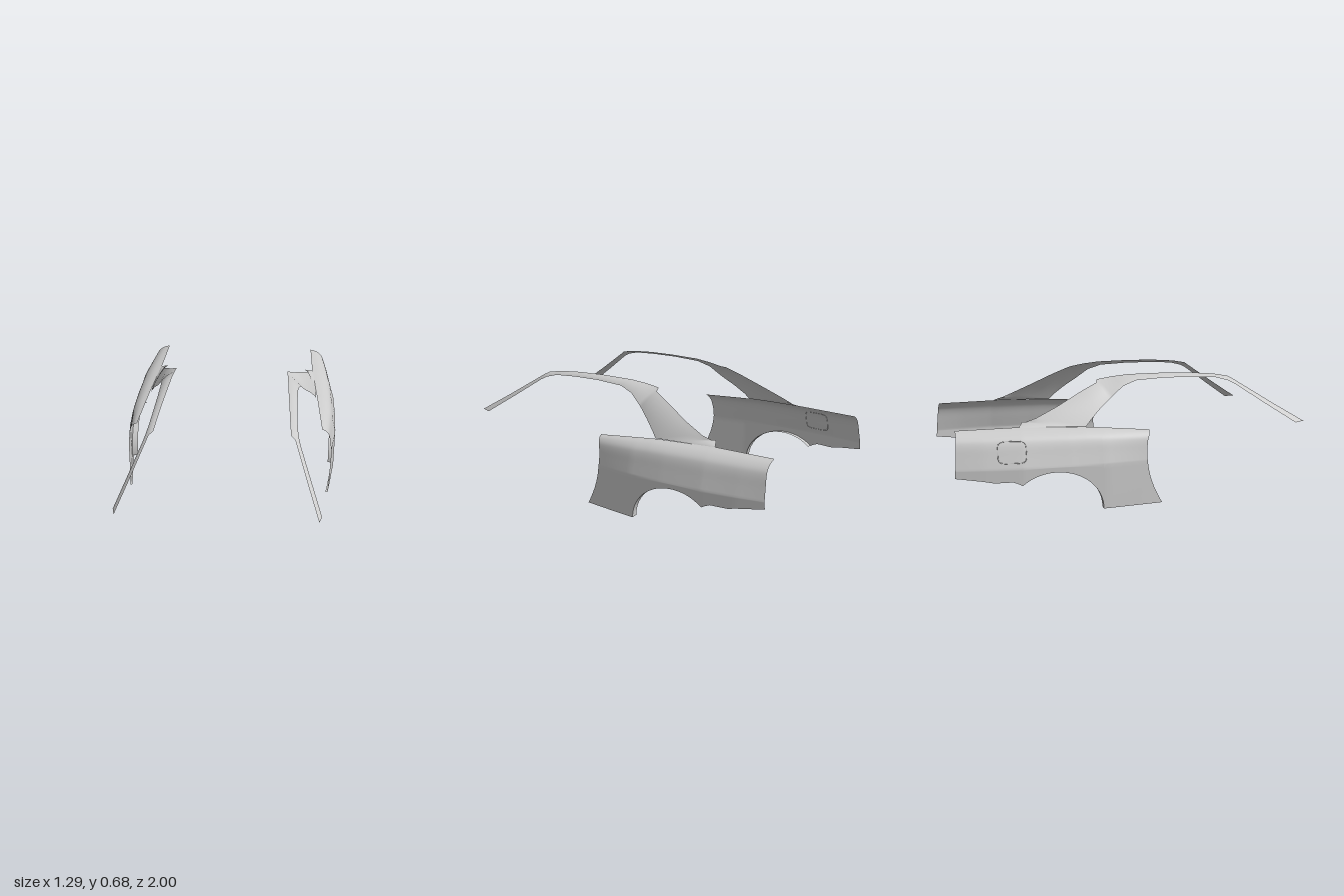
import * as THREE from 'three';

const material = new THREE.MeshStandardMaterial({ color: 0xcccccc, side: THREE.DoubleSide });

// Piecewise linear lookup in a short list of [input, output] pairs, input ascending
function lookup(table, v) {
  let i = 1;
  while (i < table.length - 1 && v > table[i][0]) i++;
  const [a, fa] = table[i - 1], [b, fb] = table[i];
  return fa + (fb - fa) * THREE.MathUtils.clamp((v - a) / (b - a), 0, 1);
}

// Surface through a grid of points; side = 1 or -1 mirrors it in x
function gridMesh(name, rows, side) {
  const n = rows[0].length, index = [], pos = [];
  rows.forEach(row => row.forEach(([x, y, z]) => pos.push(x * side, y, z)));
  for (let i = 0; i < rows.length - 1; i++) {
    for (let j = 0; j < n - 1; j++) {
      const a = i * n + j, b = a + 1, c = a + n, d = c + 1;
      if (side > 0) index.push(a, c, b, b, c, d);
      else index.push(a, b, c, b, d, c);
    }
  }
  const geometry = new THREE.BufferGeometry();
  geometry.setAttribute('position', new THREE.Float32BufferAttribute(pos, 3));
  geometry.setIndex(index);
  geometry.computeVertexNormals();
  const mesh = new THREE.Mesh(geometry, material);
  mesh.name = name;
  return mesh;
}

// Body panel: plan width, top edge and front edge
const WIDTH = [[-1, 0.6], [-0.85, 0.622], [-0.65, 0.643], [-0.4, 0.647], [-0.2, 0.643], [0.03, 0.613], [0.12, 0.6]];
const TOP_X = [[-1, 0.485], [-0.65, 0.495], [-0.4, 0.515], [-0.2, 0.53], [0.06, 0.55]];
const TOP_Y = [[-1, 0.43], [-0.64, 0.435], [-0.3, 0.427], [-0.2, 0.42], [0.06, 0.4]];
const FRONT_Z = [[0, 0.12], [0.05, 0.092], [0.1, 0.068], [0.15, 0.05], [0.2, 0.038], [0.25, 0.032], [0.3, 0.032], [0.35, 0.04], [0.4, 0.06]];
const REAR_BOTTOM = [[-1, 0.2], [-0.85, 0.18], [-0.8, 0.17], [-0.7, 0.172], [-0.655, 0.152]];
const WAIST = 0.24;

// Shoulder curve from the waist (1, 0) to the top edge (0, 1)
const shoulder = new THREE.SplineCurve([[1, 0], [0.88, 0.31], [0.76, 0.615], [0.62, 0.795], [0.345, 0.93], [0, 1]]
  .map(p => new THREE.Vector2(...p))).getPoints(20);

// Columns of the panel as [z, bottom height]
function panelColumns() {
  const columns = [];
  for (let i = 0; i < 12; i++) columns.push([0.06 - 0.28 * i / 12, 0]);
  for (let i = 0; i <= 36; i++) {
    const a = 2.355 * i / 36;
    columns.push([-0.475 + 0.255 * Math.cos(a), 0.213 * Math.sin(a)]);
  }
  for (let i = 1; i <= 14; i++) {
    const z = -0.655 - 0.345 * i / 14;
    columns.push([z, lookup(REAR_BOTTOM, z)]);
  }
  return columns;
}

// Slide columns so the ends follow the curved front and raked rear edges
function slideZ(z, y) {
  if (z > -0.2) return -0.2 + (z + 0.2) / 0.26 * (lookup(FRONT_Z, y) + 0.2);
  if (z < -0.7) return z + (-0.7 - z) / 0.3 * 0.015 * (y - 0.2) / 0.23;
  return z;
}

// Point on the shoulder: h = 0 at the waist, 1 at the top edge
function shoulderPoint(z, s, h) {
  const y = WAIST + h * (lookup(TOP_Y, z) - WAIST), zz = slideZ(z, y);
  const inner = lookup(TOP_X, zz);
  return [inner + s * (lookup(WIDTH, zz) - inner), y, zz];
}

function panelRow([z, bottom]) {
  const row = [];
  for (let j = 0; j < 10; j++) {
    const y = bottom + (WAIST - bottom) * j / 10, zz = slideZ(z, y);
    row.push([lookup(WIDTH, zz), y, zz]);
  }
  shoulder.forEach(p => row.push(shoulderPoint(z, p.x, p.y)));
  return row;
}

// Folded lip along the lower edge
function lipRow(edge, depth) {
  const [x, y, z] = edge;
  return [[x - depth, y + 0.003, z], [x, y, z]];
}

// Roof rail stations: upper edge x, y, z then lower edge x, y, z
const RAIL = [
  [0.52, 0.4, 0.995, 0.535, 0.395, 0.94],
  [0.464, 0.5, 0.83, 0.478, 0.5, 0.78],
  [0.388, 0.643, 0.605, 0.417, 0.615, 0.61],
  [0.366, 0.655, 0.585, 0.408, 0.635, 0.57],
  [0.36, 0.67, 0.5, 0.4, 0.653, 0.5],
  [0.354, 0.68, 0.36, 0.397, 0.66, 0.36],
  [0.347, 0.683, 0.2, 0.396, 0.661, 0.2],
  [0.34, 0.68, 0, 0.4, 0.652, 0.03],
  [0.336, 0.67, -0.1, 0.415, 0.625, -0.05],
  [0.333, 0.656, -0.18, 0.435, 0.575, -0.115],
  [0.375, 0.643, -0.195, 0.442, 0.56, -0.135],
  [0.4, 0.605, -0.28, 0.475, 0.51, -0.2],
  [0.445, 0.53, -0.43, 0.503, 0.46, -0.255],
  [0.467, 0.475, -0.55, 0.517, 0.427, -0.285],
  [0.46, 0.457, -0.6, 0.515, 0.43, -0.4],
  [0.445, 0.455, -0.62, 0.507, 0.432, -0.52],
  [0.49, 0.437, -0.645, 0.497, 0.434, -0.645],
];

function railRow(p) {
  const row = [], width = Math.hypot(p[3] - p[0], p[4] - p[1]);
  for (let j = 0; j <= 8; j++) {
    const t = j / 8, bulge = 0.1 * Math.min(width, 0.08) * 4 * t * (1 - t);
    const at = k => p[k + 3] + (p[k] - p[k + 3]) * t;
    row.push([at(0) + 0.7 * bulge, at(1) + 0.7 * bulge, at(2)]);
  }
  return row;
}

// Rounded outline of the filler door, following the panel
function fillerDoor(side) {
  const points = [];
  for (let i = 0; i < 40; i++) {
    const a = i / 40 * Math.PI * 2, c = Math.cos(a), s = Math.sin(a);
    const z = -0.705 + 0.075 * Math.sign(c) * Math.abs(c) ** 0.4;
    const y = 0.325 + 0.055 * Math.sign(s) * Math.abs(s) ** 0.4;
    const h = (y - WAIST) / (lookup(TOP_Y, z) - WAIST);
    const k = shoulder.findIndex(p => p.y >= h);
    const p = shoulder[k - 1], q = shoulder[k];
    const w = p.x + (q.x - p.x) * (h - p.y) / (q.y - p.y);
    const [x, yy, zz] = shoulderPoint(z, w, h);
    points.push(new THREE.Vector3(x * side, yy, zz));
  }
  const path = new THREE.CatmullRomCurve3(points, true);
  const mesh = new THREE.Mesh(new THREE.TubeGeometry(path, 120, 0.002, 6, true), material);
  mesh.name = 'fillerDoorOutline';
  return mesh;
}

export function createModel() {
  const model = new THREE.Group();
  model.name = 'rearQuarterPanels';
  const rows = panelColumns().map(panelRow);
  for (const side of [1, -1]) {
    const group = new THREE.Group();
    group.name = side > 0 ? 'leftSide' : 'rightSide';
    group.add(
      gridMesh('quarterPanel', rows, side),
      gridMesh('sillLip', rows.slice(0, 13).map(r => lipRow(r[0], 0.012)), side),
      gridMesh('wheelArchLip', rows.slice(12, 49).map(r => lipRow(r[0], 0.035)), side),
      gridMesh('roofRailAndPillars', RAIL.map(railRow), side),
    );
    if (side < 0) group.add(fillerDoor(side));
    model.add(group);
  }
  return model;
}
